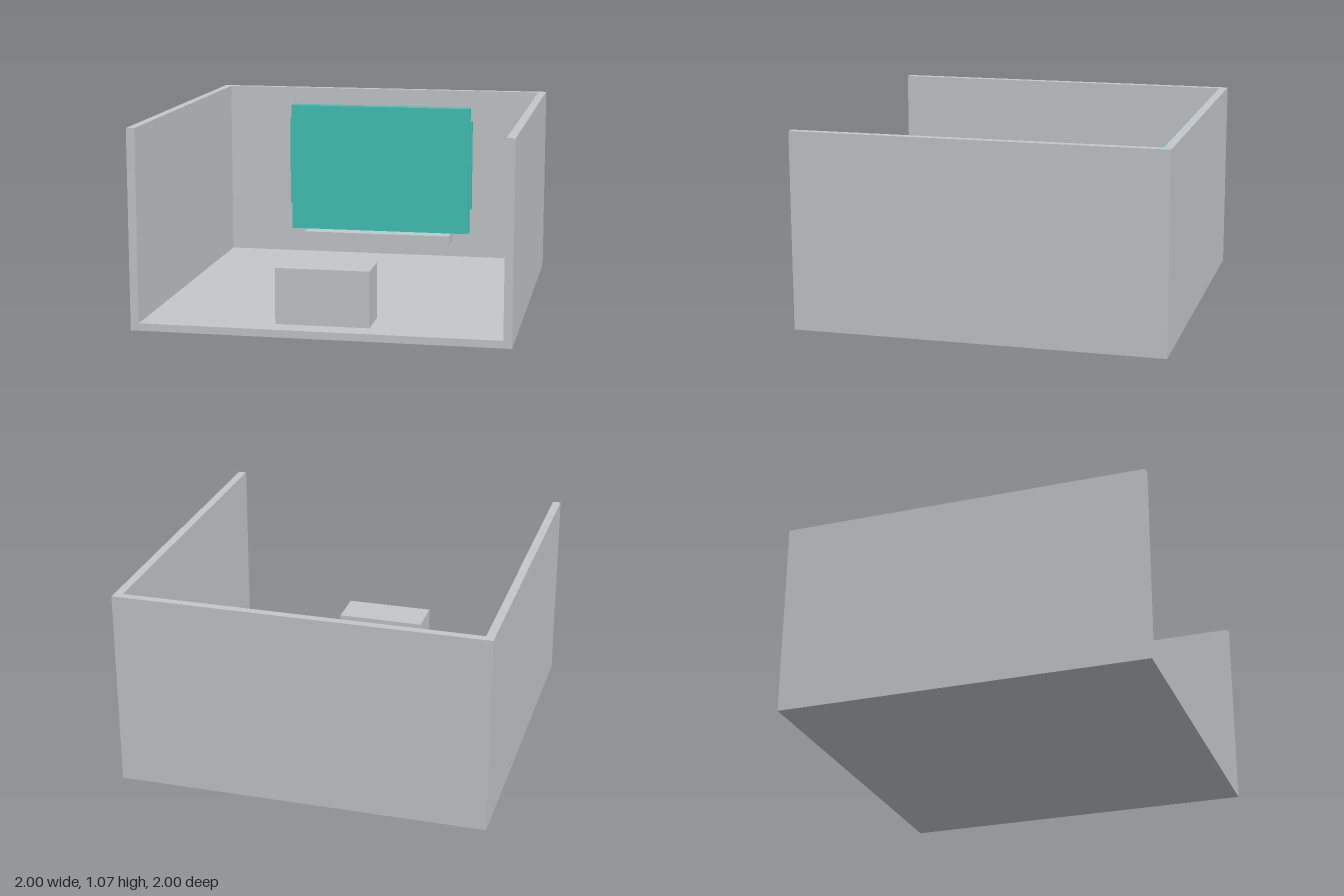
import * as THREE from 'three';

export function createModel() {
  const model = new THREE.Group();
  model.name = 'openRoom';

  const grey = new THREE.MeshStandardMaterial({ color: 0xc3c7ca });
  grey.name = 'light grey';
  const teal = new THREE.MeshStandardMaterial({ color: 0x41c2b4 });
  teal.name = 'teal';

  // Box given by its lower and upper corners
  const box = (name, material, [x0, y0, z0], [x1, y1, z1]) => {
    const mesh = new THREE.Mesh(new THREE.BoxGeometry(x1 - x0, y1 - y0, z1 - z0), material);
    mesh.position.set((x0 + x1) / 2, (y0 + y1) / 2, (z0 + z1) / 2);
    mesh.name = name;
    model.add(mesh);
  };

  const height = 1.07, inner = 0.955, floorTop = 0.04;

  // U-shaped walls, open at the front
  const outline = new THREE.Shape([
    [-1, -1], [-inner, -1], [-inner, inner], [inner, inner],
    [inner, -1], [1, -1], [1, 1], [-1, 1],
  ].map(([x, y]) => new THREE.Vector2(x, y)));
  const wallGeometry = new THREE.ExtrudeGeometry(outline, { depth: height, bevelEnabled: false });
  wallGeometry.rotateX(-Math.PI / 2);
  const walls = new THREE.Mesh(wallGeometry, grey);
  walls.name = 'walls';
  model.add(walls);

  // Floor between the walls
  box('floor', grey, [-inner, 0, -inner], [inner, floorTop, 1]);

  // Wall screen with a thin speaker on each side
  box('screen', teal, [-0.55, 0.2, -0.94], [0.55, 0.97, -0.865]);
  box('rightSpeaker', teal, [-0.565, 0.35, -0.925], [-0.55, 0.89, -0.895]);
  box('leftSpeaker', teal, [0.55, 0.35, -0.925], [0.565, 0.89, -0.895]);

  // Shelf below the screen and the block facing it
  box('shelf', grey, [-0.45, 0.14, -inner], [0.445, 0.2, -0.77]);
  box('bench', grey, [-0.25, floorTop, 0.65], [0.25, 0.34, 0.88]);

  return model;
}
